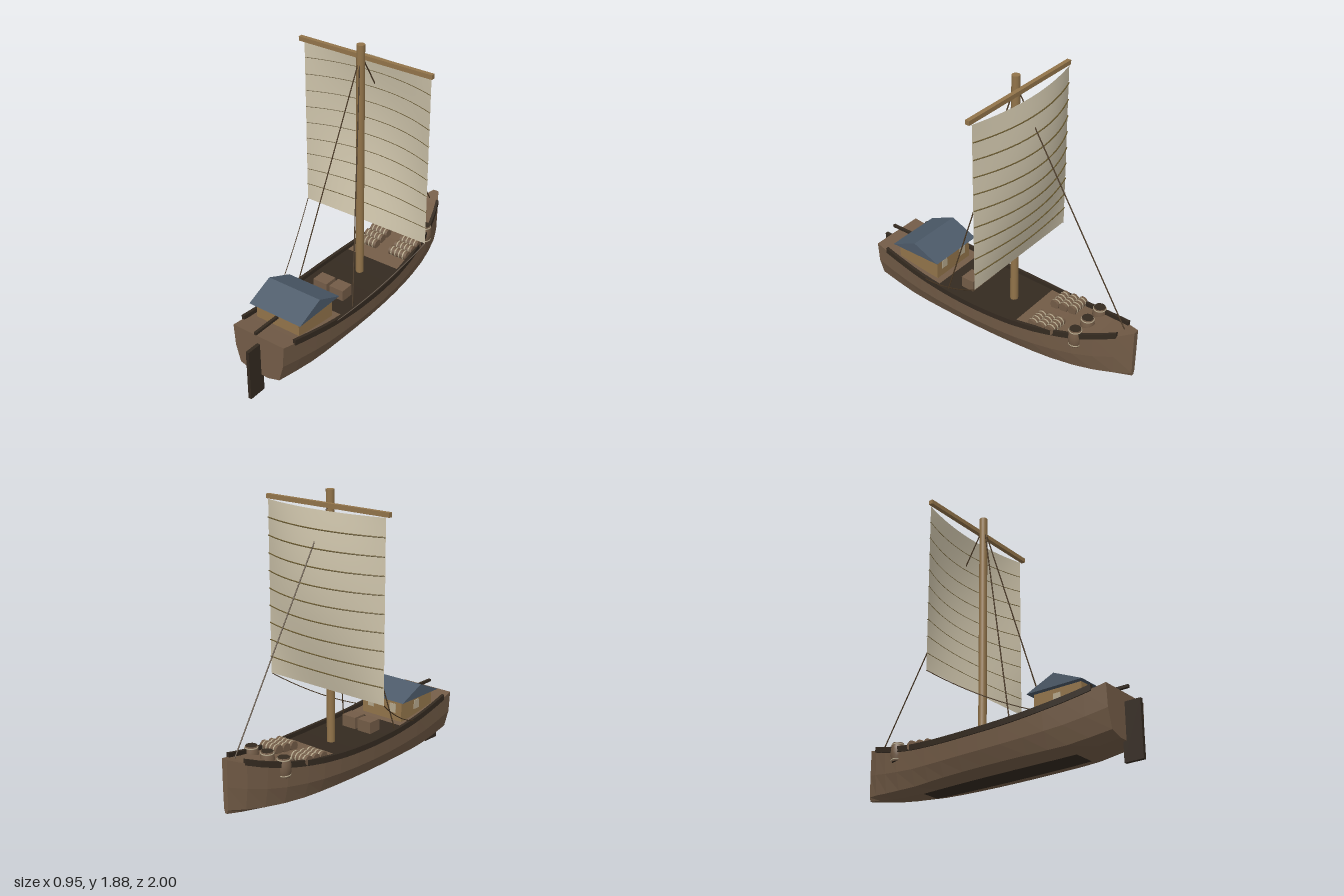
import * as THREE from 'three';

const mat = (name, color, side = THREE.FrontSide) => {
  const m = new THREE.MeshStandardMaterial({ color, side });
  m.name = name;
  return m;
};

const V = (x, y, z) => new THREE.Vector3(x, y, z);

// Straight-line lookup in a list of [z, value] pairs
function lookup(keys, z) {
  for (let i = 1; i < keys.length; i++) {
    const [z0, a] = keys[i - 1], [z1, b] = keys[i];
    if (z <= z1) return a + (b - a) * (z - z0) / (z1 - z0);
  }
  return keys[keys.length - 1][1];
}

// Half width, deck line and bottom line of the hull along z (bow at -1)
const WIDTHS = [[-1, 0.02], [-0.9, 0.078], [-0.78, 0.122], [-0.65, 0.158], [-0.4, 0.202], [-0.2, 0.225],
  [0, 0.235], [0.25, 0.235], [0.5, 0.225], [0.8, 0.2], [0.9, 0.19]];
const BOTTOMS = [[-1, 0.145], [-0.8, 0.112], [-0.55, 0.086], [-0.45, 0.085], [0.6, 0.085], [0.75, 0.1], [0.9, 0.12]];
const halfWidth = z => lookup(WIDTHS, z);
const bottom = z => lookup(BOTTOMS, z);
const sheer = z => z < 0.05
  ? 0.305 + 0.175 * Math.pow((0.05 - z) / 1.05, 2.6)
  : 0.305 + 0.095 * Math.pow((z - 0.05) / 0.85, 2);

// Faceted skin over rings that run counter-clockwise seen from +z, with end caps;
// pick(i, j) chooses the material of each panel
function loft(rings, pick = () => 0) {
  const buckets = [[], []];
  const tri = (k, ...pts) => pts.forEach(p => buckets[k].push(p.x, p.y, p.z));
  const n = rings[0].length;
  for (let i = 0; i < rings.length - 1; i++) {
    for (let j = 0; j < n; j++) {
      const k = (j + 1) % n, a = rings[i][j], b = rings[i][k], c = rings[i + 1][k], d = rings[i + 1][j];
      tri(pick(i, j), a, b, c);
      tri(pick(i, j), a, c, d);
    }
  }
  const first = rings[0], last = rings[rings.length - 1];
  for (let j = 1; j < n - 1; j++) {
    tri(0, first[0], first[j + 1], first[j]);
    tri(0, last[0], last[j], last[j + 1]);
  }
  const g = new THREE.BufferGeometry();
  g.setAttribute('position', new THREE.Float32BufferAttribute([...buckets[0], ...buckets[1]], 3));
  g.addGroup(0, buckets[0].length / 3, 0);
  g.addGroup(buckets[0].length / 3, buckets[1].length / 3, 1);
  g.computeVertexNormals();
  return g;
}

export function createModel() {
  const M = {
    hull: mat('hull brown', 0x735c47),
    dark: mat('dark timber', 0x342a20),
    wood: mat('light wood', 0x92744a),
    roof: mat('slate roof', 0x4c5a69),
    sail: mat('sailcloth', 0xcdc3aa, THREE.DoubleSide),
    batten: mat('batten', 0x6a5a30),
    rope: mat('rope', 0x4a3824),
    band: mat('pale band', 0xb5a88c),
  };
  const model = new THREE.Group();
  const add = (name, geo, material, x = 0, y = 0, z = 0, parent = model) => {
    const mesh = new THREE.Mesh(geo, material);
    mesh.name = name;
    mesh.position.set(x, y, z);
    parent.add(mesh);
    return mesh;
  };
  const box = (name, w, h, d, material, x, y, z) => add(name, new THREE.BoxGeometry(w, h, d), material, x, y, z);
  const line = (name, curve, r, material, segs = 1) => add(name, new THREE.TubeGeometry(curve, segs, r, 6), material);

  // Hull: chined sections, with the midship deck and flat bottom in dark timber
  const stations = [-1, -0.9, -0.78, -0.65, -0.5, -0.38, -0.25, -0.1, 0.05, 0.2, 0.36, 0.5, 0.62, 0.76, 0.9];
  const hullRings = stations.map(z => {
    const w = halfWidth(z), b = bottom(z), s = sheer(z);
    const right = [[0.34 * w, b], [0.78 * w, b + 0.025], [0.95 * w, b + 0.5 * (s - b)], [w, s]];
    return [...right.map(([x, y]) => V(x, y, z)), ...right.reverse().map(([x, y]) => V(-x, y, z))];
  });
  add('hull', loft(hullRings, (i, j) => {
    const z = (stations[i] + stations[i + 1]) / 2;
    return (j === 3 && z > -0.25 && z < 0.36) || (j === 7 && z > -0.5 && z < 0.62) ? 1 : 0;
  }), [M.hull, M.dark]);

  // Rails along both deck edges
  for (const s of [-1, 1]) {
    const rings = [];
    for (let i = 0; i <= 20; i++) {
      const z = -0.91 + 1.72 * i / 20, x = s * (halfWidth(z) - 0.004), y = sheer(z);
      rings.push([V(x - 0.01, y - 0.01, z), V(x + 0.01, y - 0.01, z), V(x + 0.01, y + 0.027, z), V(x - 0.01, y + 0.027, z)]);
    }
    add(s > 0 ? 'leftRail' : 'rightRail', loft(rings), M.dark);
  }

  // Rudder and tiller
  box('rudder', 0.022, 0.345, 0.12, M.dark, 0, 0.1725, 0.94);
  box('tiller', 0.018, 0.017, 0.22, M.dark, 0, 0.434, 0.815);

  // Cabin with gabled roof
  box('cabin', 0.32, 0.165, 0.32, M.wood, 0, 0.3825, 0.563);
  const gable = new THREE.Shape([[-0.188, 0], [0.188, 0], [0, 0.082]].map(p => new THREE.Vector2(...p)));
  const roofGeo = new THREE.ExtrudeGeometry(gable, { depth: 0.386, bevelEnabled: false });
  roofGeo.translate(0, 0, -0.193).rotateY(Math.PI / 2);
  add('roof', roofGeo, M.roof, 0, 0.463, 0.562);
  for (const x of [-0.09, 0.09]) box('cabinWindow', 0.05, 0.06, 0.006, M.band, x, 0.405, 0.402);
  box('sideWindow', 0.006, 0.06, 0.05, M.band, -0.161, 0.405, 0.56);

  // Mast and yard
  add('mast', new THREE.CylinderGeometry(0.026, 0.026, 1.59, 12), M.wood, 0, 1.085, -0.1);
  box('yard', 0.95, 0.028, 0.028, M.wood, 0, 1.791, -0.135);

  // Sail bellied towards the bow
  const H = 1.11, Y0 = 0.665;
  const belly = (x, y) => -0.15 - 0.105 * Math.sin(Math.PI * 0.8 * (y - Y0) / H) * (1 - (x / 0.455) ** 2);
  const sailGeo = new THREE.PlaneGeometry(0.91, H, 16, 20);
  const p = sailGeo.attributes.position;
  for (let i = 0; i < p.count; i++) {
    const x = p.getX(i), y = p.getY(i) + Y0 + H / 2;
    p.setXYZ(i, x, y, belly(x, y));
  }
  sailGeo.computeVertexNormals();
  add('sail', sailGeo, M.sail);

  // Battens across the forward face of the sail
  for (let k = 1; k <= 9; k++) {
    const y = Y0 + H * k / 10, pts = [];
    for (let i = 0; i <= 12; i++) {
      const x = -0.455 + 0.91 * i / 12;
      pts.push(V(x, y, belly(x, y) - 0.003));
    }
    line('batten', new THREE.CatmullRomCurve3(pts), 0.004, M.batten, 24);
  }

  // Rigging
  line('forestay', new THREE.LineCurve3(V(0, 1.82, -0.1), V(0, 0.46, -0.92)), 0.004, M.rope);
  for (const s of [-1, 1]) {
    line('shroud', new THREE.LineCurve3(V(0, 1.8, -0.09), V(s * 0.215, 0.32, 0.27)), 0.004, M.rope);
    line('sheet', new THREE.QuadraticBezierCurve3(V(s * 0.455, 0.665, -0.15), V(s * 0.34, 0.44, 0.16),
      V(s * 0.225, 0.335, 0.46)), 0.003, M.rope, 16);
  }

  // Crates behind the mast
  for (const x of [-0.063, 0.063]) box('crate', 0.104, 0.085, 0.093, M.hull, x, 0.341, 0.19);

  // Bales lashed with pale bands
  for (const x of [-0.12, 0.12]) {
    for (const z of [-0.375, -0.44, -0.505]) {
      const bale = new THREE.Group();
      bale.name = 'bale';
      bale.position.set(x, sheer(z) + 0.022, z);
      bale.rotation.z = Math.PI / 2;
      model.add(bale);
      add('baleRoll', new THREE.CylinderGeometry(0.031, 0.031, 0.135, 10), M.hull, 0, 0, 0, bale);
      for (const t of [-0.045, -0.015, 0.015, 0.045])
        add('baleBand', new THREE.CylinderGeometry(0.033, 0.033, 0.008, 10), M.band, 0, t, 0, bale);
    }
  }

  // Barrels near the bow
  const stave = [[0.036, 0], [0.043, 0.03], [0.046, 0.06], [0.043, 0.09], [0.036, 0.12]].map(q => new THREE.Vector2(...q));
  for (const x of [-0.132, 0, 0.132]) {
    const barrel = new THREE.Group();
    barrel.name = 'barrel';
    barrel.position.set(x, 0.3, -0.66);
    model.add(barrel);
    add('barrelBody', new THREE.LatheGeometry(stave, 12), M.hull, 0, 0, 0, barrel);
    add('barrelCore', new THREE.CylinderGeometry(0.036, 0.036, 0.121, 12), M.dark, 0, 0.06, 0, barrel);
    for (const y of [0.012, 0.108]) {
      const hoop = new THREE.TorusGeometry(0.039, 0.004, 5, 14).rotateX(Math.PI / 2);
      add('barrelHoop', hoop, M.band, 0, y, 0, barrel);
    }
  }
  return model;
}
